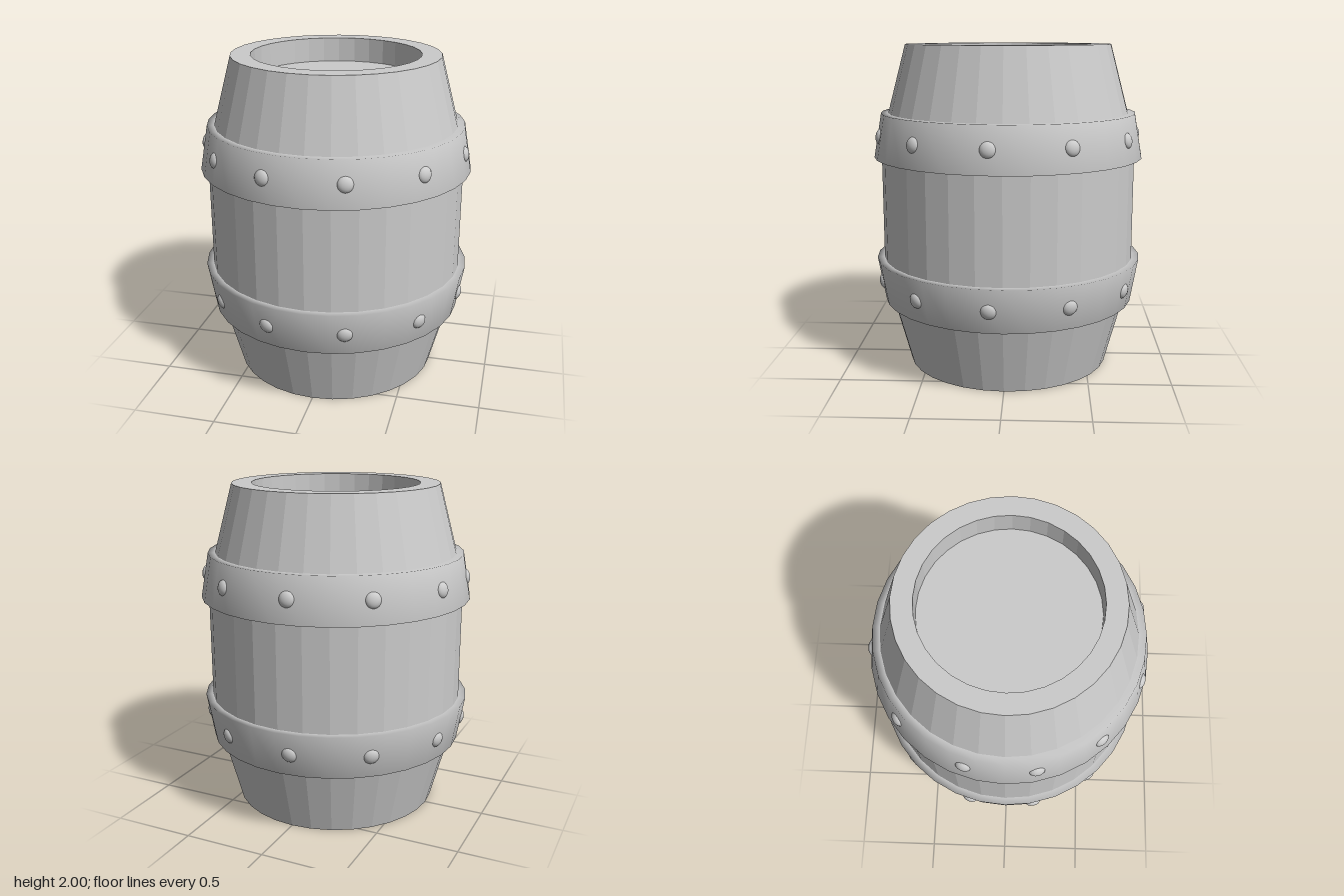
import * as THREE from 'three';

const SIDES = 32;
const lathe = (pts) =>
  new THREE.LatheGeometry(pts.map(([r, y]) => new THREE.Vector2(r, y)), SIDES);

export function createModel() {
  const barrel = new THREE.Group();
  barrel.name = 'barrel';
  const wood = new THREE.MeshStandardMaterial({ color: 0xcccccc, flatShading: true });
  const metal = new THREE.MeshStandardMaterial({ color: 0xcccccc });

  const add = (parent, geometry, material, name) => {
    const mesh = new THREE.Mesh(geometry, material);
    mesh.name = name;
    parent.add(mesh);
    return mesh;
  };

  // Faceted body with a rim and a sunken lid at both ends
  add(barrel, lathe([
    [0, 0.13], [0.51, 0.13], [0.51, 0], [0.63, 0], [0.787, 0.585],
    [0.787, 1.415], [0.63, 2], [0.51, 2], [0.51, 1.85], [0, 1.85],
  ]), wood, 'body');

  // Rivet angles around a hoop, in degrees from the front towards +x
  const rivetAngles = [];
  for (let i = 0; i < 8; i++) rivetAngles.push(16.875 + 33.75 * i);
  rivetAngles.push(283, 312.5, 343.125);
  const rivetGeometry = new THREE.SphereGeometry(1, 16, 12);

  // Hoops flare towards the middle of the barrel; the lower mirrors the upper
  for (const [name, side] of [['upper', 1], ['lower', -1]]) {
    const hoop = new THREE.Group();
    hoop.name = name + 'Hoop';
    barrel.add(hoop);

    const profile = [[0.78, 0.317], [0.832, 0.317], [0.785, 0.587], [0.735, 0.587]]
      .map(([r, dy]) => [r, 1 + side * dy]);
    if (side < 0) profile.reverse();
    add(hoop, lathe(profile), metal, name + 'Band');

    for (const angle of rivetAngles) {
      const a = THREE.MathUtils.degToRad(angle);
      const rivet = add(hoop, rivetGeometry, metal, name + 'Rivet');
      rivet.scale.set(0.047, 0.047, 0.028);
      rivet.position.set(0.798 * Math.sin(a), 1 + side * 0.453, 0.798 * Math.cos(a));
      rivet.rotation.set(-side * 0.17, a, 0, 'YXZ');
    }
  }
  return barrel;
}
